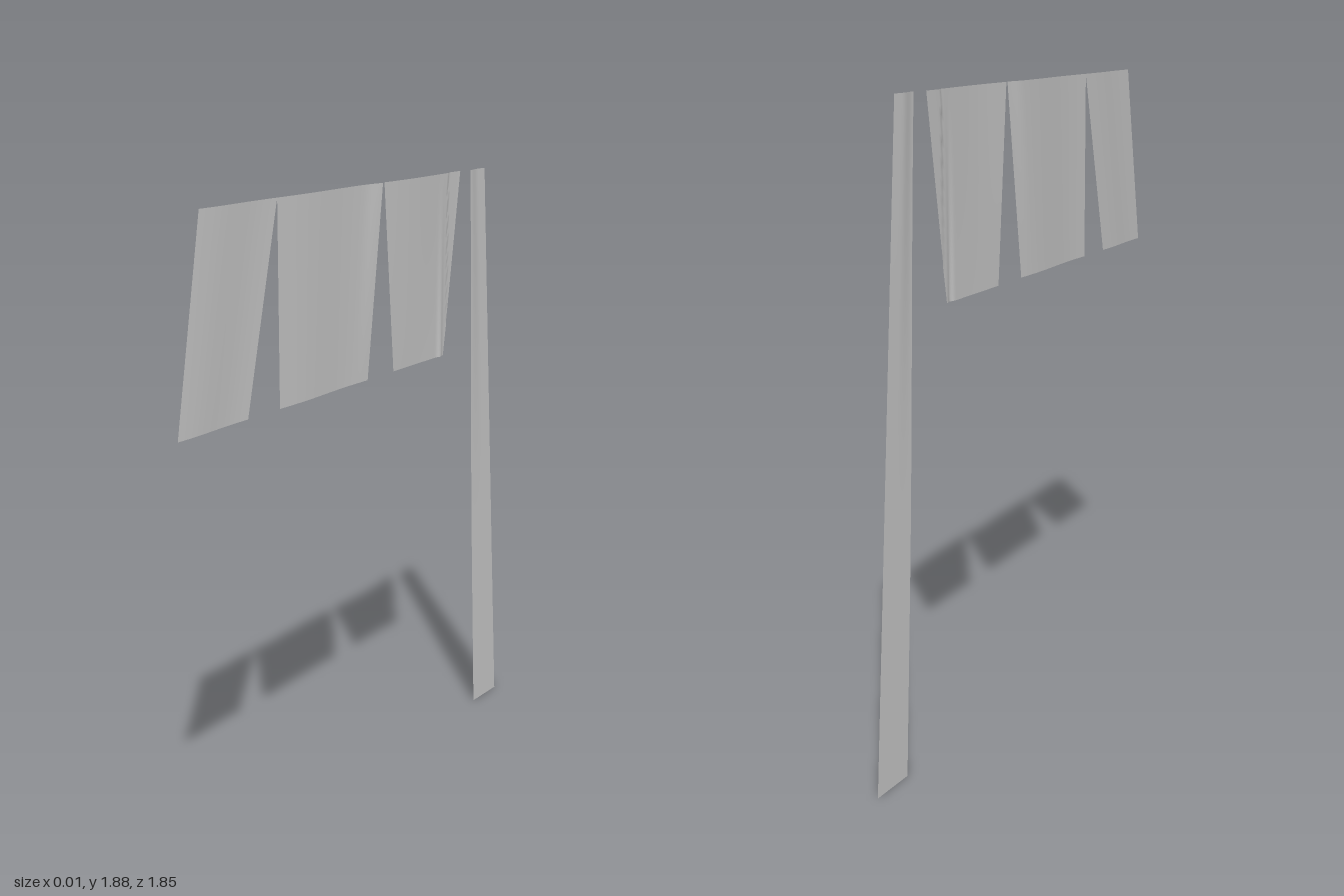
import * as THREE from 'three';

const TOP = 1.885;
const step = (a, b, v) => THREE.MathUtils.smoothstep(v, a, b);

// Thin cloth sheet between a top edge and a bottom edge; bend(u, v, z, y) gives its x offset
function clothPanel(name, topZ, bottomZ, bottomY, cols, rows, bend, material) {
  const geo = new THREE.PlaneGeometry(1, 1, cols, rows);
  const pos = geo.attributes.position;
  for (let i = 0; i < pos.count; i++) {
    const u = pos.getX(i) + 0.5;
    const v = 0.5 - pos.getY(i); // 0 at the top edge, 1 at the bottom
    const left = THREE.MathUtils.lerp(topZ[0], bottomZ[0], v);
    const right = THREE.MathUtils.lerp(topZ[1], bottomZ[1], v);
    const z = THREE.MathUtils.lerp(left, right, u);
    const y = THREE.MathUtils.lerp(TOP, bottomY, v);
    pos.setXYZ(i, bend(u, v, z, y), y, z);
  }
  geo.computeVertexNormals();
  const mesh = new THREE.Mesh(geo, material);
  mesh.name = name;
  return mesh;
}

export function createModel() {
  const group = new THREE.Group();
  group.name = 'hangingCloth';
  const cloth = new THREE.MeshStandardMaterial({ color: 0xcccccc, side: THREE.DoubleSide });

  // Nearly flat slanted end panel
  group.add(clothPanel('frontPanel', [0.73, 0.375], [0.845, 0.53], 1.3, 16, 6,
    (u) => -0.006 + 0.002 * Math.sin(u * Math.PI * 2), cloth));

  // Wide panel with a soft central swell and a gathered rear edge
  group.add(clothPanel('middlePanel', [0.375, -0.175], [0.375, -0.1], 1.3, 24, 8,
    (u, v) => -0.006 + 0.003 * Math.sin(u * Math.PI * 2) + 0.008 * step(0.85, 1, u) * (1 - v), cloth));

  // Folded panel: pouch bulging outward at the top, and a narrow crease below it
  group.add(clothPanel('foldedPanel', [-0.19, -0.69], [-0.26, -0.58], 1.3, 50, 40, (u, v, z, y) => {
    const sag = 1.6 + 6 * (z + 0.51) ** 2;
    const pouch = step(-0.39, -0.42, z) * (1 - step(-0.54, -0.58, z)) * step(sag - 0.01, sag + 0.05, y);
    const crease = Math.exp(-(((z + 0.555) / 0.012) ** 2)) * v;
    const hem = 0.007 * step(-0.6, -0.66, z) * (1 - v);
    return -0.009 + 0.004 * Math.sin(u * 5) * (1 - v) + 0.014 * pouch + 0.006 * crease + hem;
  }, cloth));

  // Long narrow strip reaching the ground, curled along one edge near the top
  group.add(clothPanel('longStrip', [-0.735, -0.845], [-0.845, -1], 0, 12, 24,
    (u, v) => -0.01 + 0.005 * u + 0.01 * (1 - step(0, 0.6, u)) * (1 - step(0, 0.7, v)), cloth));

  return group;
}
